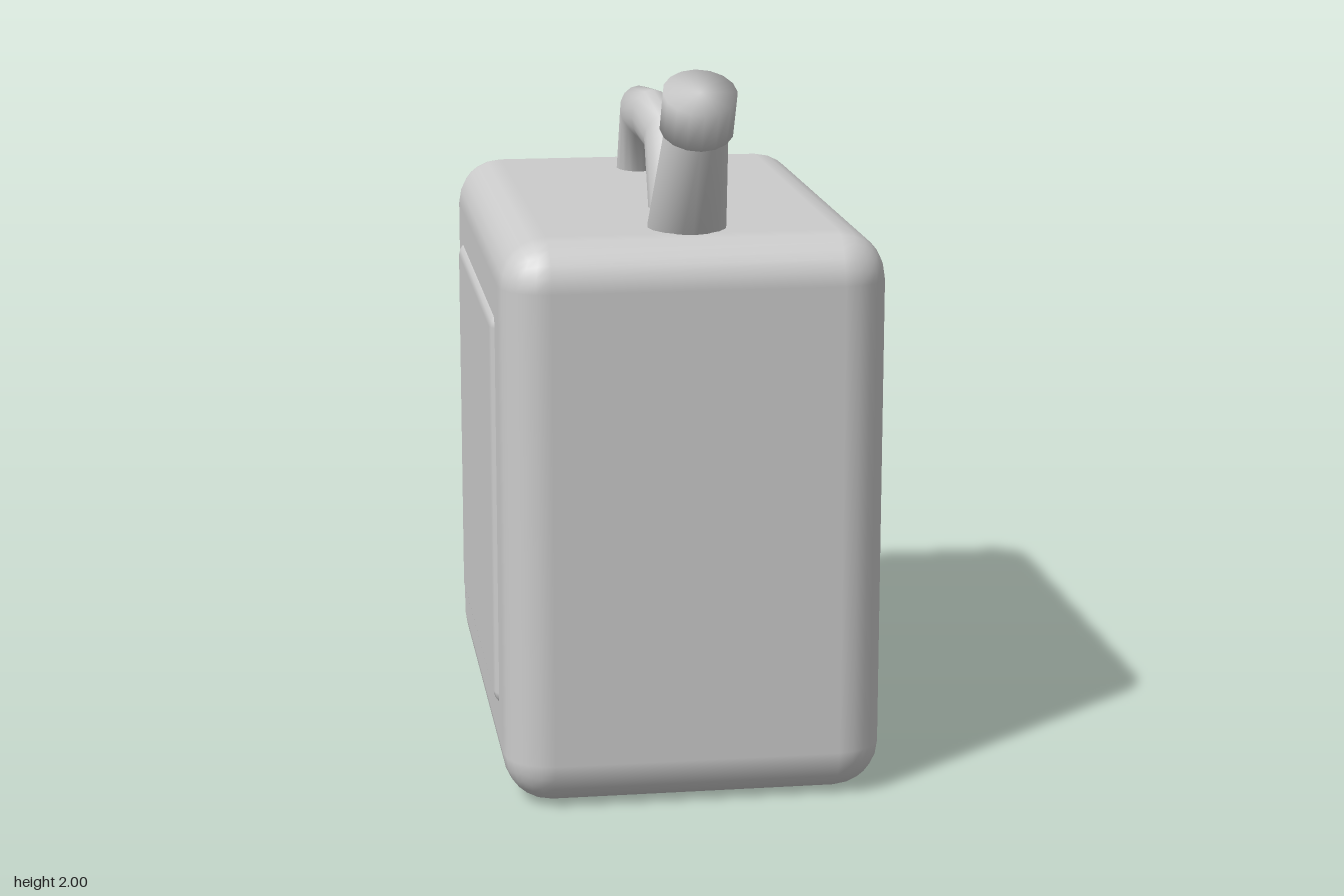
import * as THREE from 'three';
import { mergeVertices } from 'three/addons/utils/BufferGeometryUtils.js';
import { RoundedBoxGeometry } from 'three/addons/geometries/RoundedBoxGeometry.js';

const material = new THREE.MeshStandardMaterial({ color: 0xcccccc });

function part(name, geometry, parent) {
  const mesh = new THREE.Mesh(geometry, material);
  mesh.name = name;
  parent.add(mesh);
  return mesh;
}

// Weld a geometry so its shading runs smoothly over every edge
function smooth(geometry) {
  geometry.deleteAttribute('uv');
  geometry.deleteAttribute('normal');
  const welded = mergeVertices(geometry, 1e-4);
  welded.computeVertexNormals();
  return welded;
}

// Tube through elliptical sections, each given by its outer and inner [z, y] points
function handleGeometry(sections, halfWidth, sides) {
  const positions = [], indices = [];
  for (const [oz, oy, iz, iy] of sections) {
    for (let j = 0; j < sides; j++) {
      const a = (j / sides) * Math.PI * 2;
      const t = (1 + Math.cos(a)) / 2;
      positions.push(halfWidth * Math.sin(a), iy + (oy - iy) * t, iz + (oz - iz) * t);
    }
  }
  for (let i = 0; i < sections.length - 1; i++) {
    for (let j = 0; j < sides; j++) {
      const k = (j + 1) % sides;
      const a = i * sides + j, b = i * sides + k;
      indices.push(a, b, a + sides, b, b + sides, a + sides);
    }
  }
  const geometry = new THREE.BufferGeometry();
  geometry.setAttribute('position', new THREE.Float32BufferAttribute(positions, 3));
  geometry.setIndex(indices);
  geometry.computeVertexNormals();
  return geometry;
}

export function createModel() {
  const model = new THREE.Group();
  model.name = 'fuelCan';

  // Rounded tank
  part('tank', new RoundedBoxGeometry(1.04, 1.56, 1.56, 3, 0.13), model)
    .position.set(0, 0.78, -0.04);

  // Raised panel on each side
  for (const [name, side] of [['leftPanel', 1], ['rightPanel', -1]]) {
    part(name, new RoundedBoxGeometry(0.16, 1.11, 1.11, 2, 0.04), model)
      .position.set(side * 0.453, 0.78, -0.04);
  }

  // Carrying handle, legs sunk into the tank
  part('handle', handleGeometry([
    [0.316, 1.5, 0.14, 1.5],
    [0.16, 1.81, 0.07, 1.68],
    [-0.144, 1.84, -0.144, 1.68],
    [-0.452, 1.81, -0.36, 1.68],
    [-0.603, 1.5, -0.427, 1.5],
  ], 0.062, 16), model);

  // Spout and cap leaning forward along one axis
  const spout = new THREE.Group();
  spout.name = 'spoutAssembly';
  spout.position.set(0, 1.56, 0.509);
  spout.rotation.x = Math.PI / 6;
  model.add(spout);
  part('spout', smooth(new THREE.CylinderGeometry(0.083, 0.114, 0.45, 16)), spout)
    .position.y = 0.125;
  part('cap', smooth(new THREE.CylinderGeometry(0.098, 0.098, 0.117, 16)), spout)
    .position.y = 0.393;

  return model;
}
